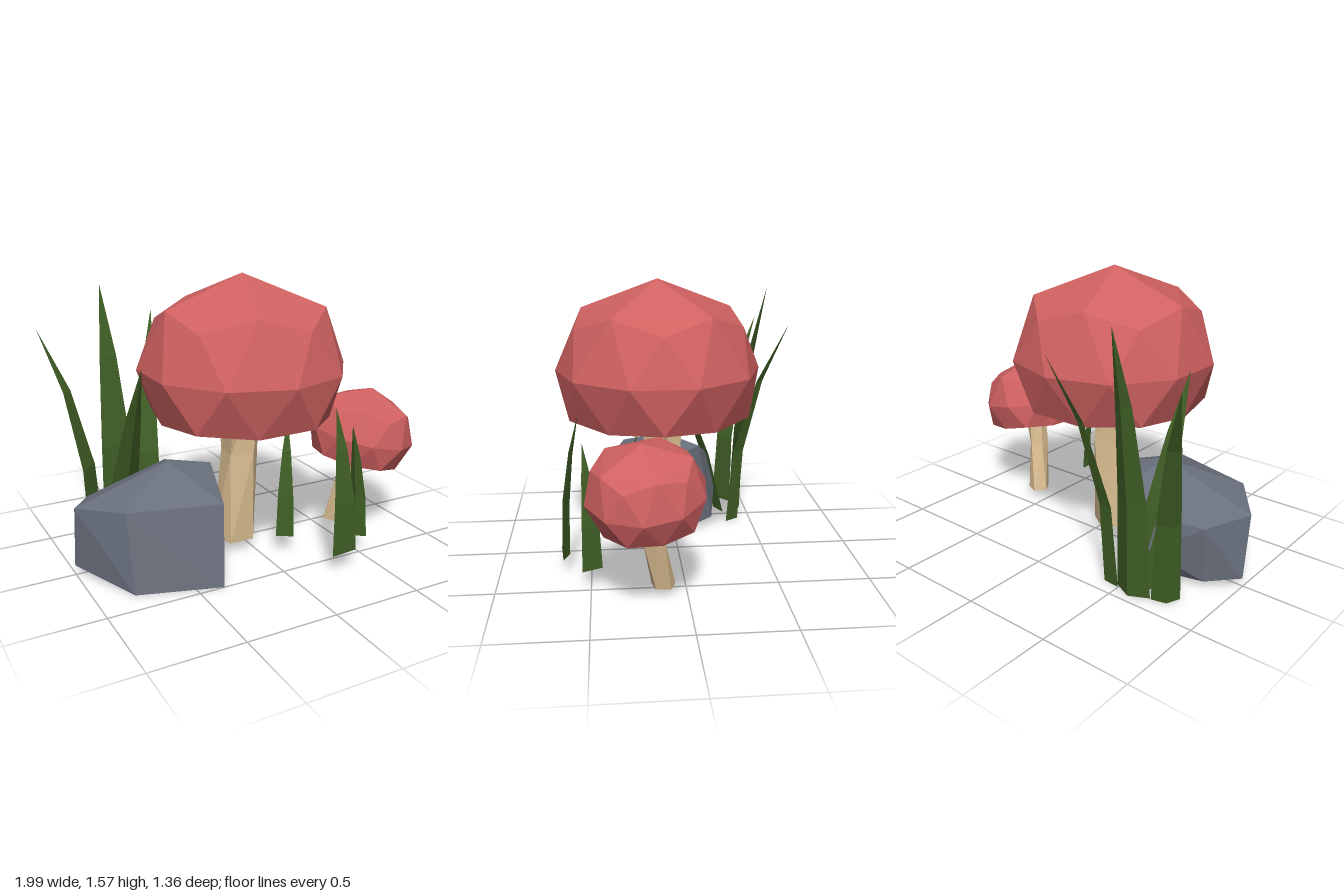
import * as THREE from 'three';
import { ConvexGeometry } from 'three/addons/geometries/ConvexGeometry.js';

const V = (x, y, z) => new THREE.Vector3(x, y, z);
const mat = (name, color) => {
  const m = new THREE.MeshStandardMaterial({ color, flatShading: true });
  m.name = name;
  return m;
};

// Triangle soup so every facet stays flat
function facets(tris) {
  const g = new THREE.BufferGeometry().setFromPoints(tris);
  g.computeVertexNormals();
  return g;
}

// Skin between two rings of points, lower to upper
function strip(out, a, b) {
  a.forEach((p, i) => {
    const j = (i + 1) % a.length;
    out.push(p, b[i], a[j], a[j], b[i], b[j]);
  });
}

// Faces from a ring to one point, seen from above or from below
function fan(out, ring, tip, below = false) {
  ring.forEach((p, i) => {
    const q = ring[(i + 1) % ring.length];
    out.push(...(below ? [q, tip, p] : [p, tip, q]));
  });
}

// Ring of n points; radius and height alternate between two pairs
function ring(n, startDeg, even, odd = even, cx = 0, cz = 0) {
  return Array.from({ length: n }, (_, i) => {
    const a = THREE.MathUtils.degToRad(startDeg) + (i * 2 * Math.PI) / n;
    const [r, y] = i % 2 ? odd : even;
    return V(cx + r * Math.cos(a), y, cz + r * Math.sin(a));
  });
}

// Faceted dome with a hollow underside, origin at its widest ring
function capGeometry() {
  const rim = ring(10, 0, [0.52, -0.25], [0.48, -0.27]);
  const middle = ring(10, 18, [0.572, 0]);
  const upper = ring(10, 36, [0.445, 0.33], [0.48, 0.25]);
  const out = [];
  strip(out, rim, middle);
  strip(out, middle, upper);
  for (let i = 0; i < 10; i += 2) out.push(upper[i + 1], upper[i], upper[(i + 2) % 10]);
  fan(out, upper.filter((_, i) => i % 2 === 0), V(0, 0.5, 0));
  fan(out, rim, V(0, -0.04, 0), true);
  return facets(out);
}

// Five-sided stem through sections of [x, y, z, radius, turn]
function stemGeometry(sections) {
  const rings = sections.map(([x, y, z, r, turn]) => ring(5, turn, [r, y], [r, y], x, z));
  const out = [];
  for (let i = 1; i < rings.length; i++) strip(out, rings[i - 1], rings[i]);
  const [x0, y0, z0] = sections[0], [x1, y1, z1] = sections.at(-1);
  fan(out, rings[0], V(x0, y0, z0), true);
  fan(out, rings.at(-1), V(x1, y1, z1));
  return facets(out);
}

// Three-edged blade that bends from its base towards its tip
function bladeGeometry(base, tip, width, bend) {
  const lean = V(tip[0] - base[0], 0, tip[2] - base[2]).normalize();
  const side = V(-lean.z, 0, lean.x);
  const rings = [[0, 1], [0.36, 0.85], [0.72, 0.48]].map(([t, w]) => {
    const f = Math.pow(t, bend);
    const c = V(
      THREE.MathUtils.lerp(base[0], tip[0], f),
      THREE.MathUtils.lerp(base[1], tip[1], t),
      THREE.MathUtils.lerp(base[2], tip[2], f)
    );
    const at = (d, s) => c.clone().addScaledVector(d, s * width * w);
    return [at(lean, 0.25), at(side, 0.5), at(side, -0.5)];
  });
  const out = [];
  strip(out, rings[0], rings[1]);
  strip(out, rings[1], rings[2]);
  fan(out, rings[2], V(...tip));
  out.push(rings[0][0], rings[0][1], rings[0][2]);
  return facets(out);
}

export function createModel() {
  const model = new THREE.Group();
  const red = mat('cap red', 0xd06161);
  const tan = mat('stem tan', 0xd8bb8f);
  const grey = mat('rock grey', 0x696f7c);
  const green = mat('grass green', 0x3f5e25);
  const add = (name, geometry, material) => {
    const mesh = new THREE.Mesh(geometry, material);
    mesh.name = name;
    model.add(mesh);
    return mesh;
  };

  // Large mushroom
  add('largeCap', capGeometry(), red).position.set(-0.045, 1.07, 0.107);
  add('largeStem', stemGeometry([
    [-0.08, 0.06, 0.075, 0.122, 54],
    [-0.045, 0.58, 0.085, 0.108, 75],
    [-0.05, 1.04, 0.1, 0.14, 54],
  ]), tan);

  // Small mushroom, leaning to its left
  const smallCap = add('smallCap', capGeometry(), red);
  smallCap.position.set(0.69, 0.61, 0.217);
  smallCap.scale.setScalar(0.54);
  smallCap.rotation.set(0.08, -0.4, -0.2, 'ZXY');
  add('smallStem', stemGeometry([
    [0.577, 0.052, 0.125, 0.065, 40],
    [0.625, 0.33, 0.18, 0.06, 60],
    [0.685, 0.6, 0.21, 0.075, 40],
  ]), tan);

  // Rock
  add('rock', new ConvexGeometry([
    [-1, 0.05, -0.01], [-1, 0.4, 0.04], [-0.8, 0, 0.36], [-0.81, 0.43, 0.29],
    [-0.36, 0, 0.5], [-0.32, 0.43, 0.42], [-0.215, 0, 0], [-0.19, 0.5, 0],
    [-0.47, 0.57, 0.04], [-0.4, 0.5, -0.17], [-0.62, 0.38, -0.25], [-0.86, 0.36, -0.18],
    [-0.6, 0.2, -0.295], [-0.38, 0.03, -0.25], [-0.85, 0.04, -0.15],
  ].map((p) => V(...p))), grey);

  // Grass: base, tip, width, bend
  [
    ['tallGrassLeftBlade', [-0.76, 0.005, -0.365], [-0.97, 1.23, -0.61], 0.15, 2.4],
    ['tallGrassMiddleBlade', [-0.59, 0.005, -0.41], [-0.59, 1.46, -0.61], 0.21, 2],
    ['tallGrassRightBlade', [-0.43, 0.005, -0.385], [-0.25, 1.28, -0.68], 0.17, 2.2],
    ['tallGrassFrontBlade', [-0.615, 0.005, -0.34], [-0.6, 1.1, 0.04], 0.19, 1.35],
    ['shortGrassFrontBlade', [0.285, 0.11, 0.655], [0.275, 0.9, 0.55], 0.16, 2.2],
    ['shortGrassInnerBlade', [0.112, 0.11, 0.325], [0.175, 0.78, 0.23], 0.1, 2],
    ['shortGrassOuterBlade', [0.49, 0.11, 0.49], [0.4, 0.78, 0.53], 0.115, 2],
  ].forEach(([name, base, tip, width, bend]) => add(name, bladeGeometry(base, tip, width, bend), green));

  return model;
}
